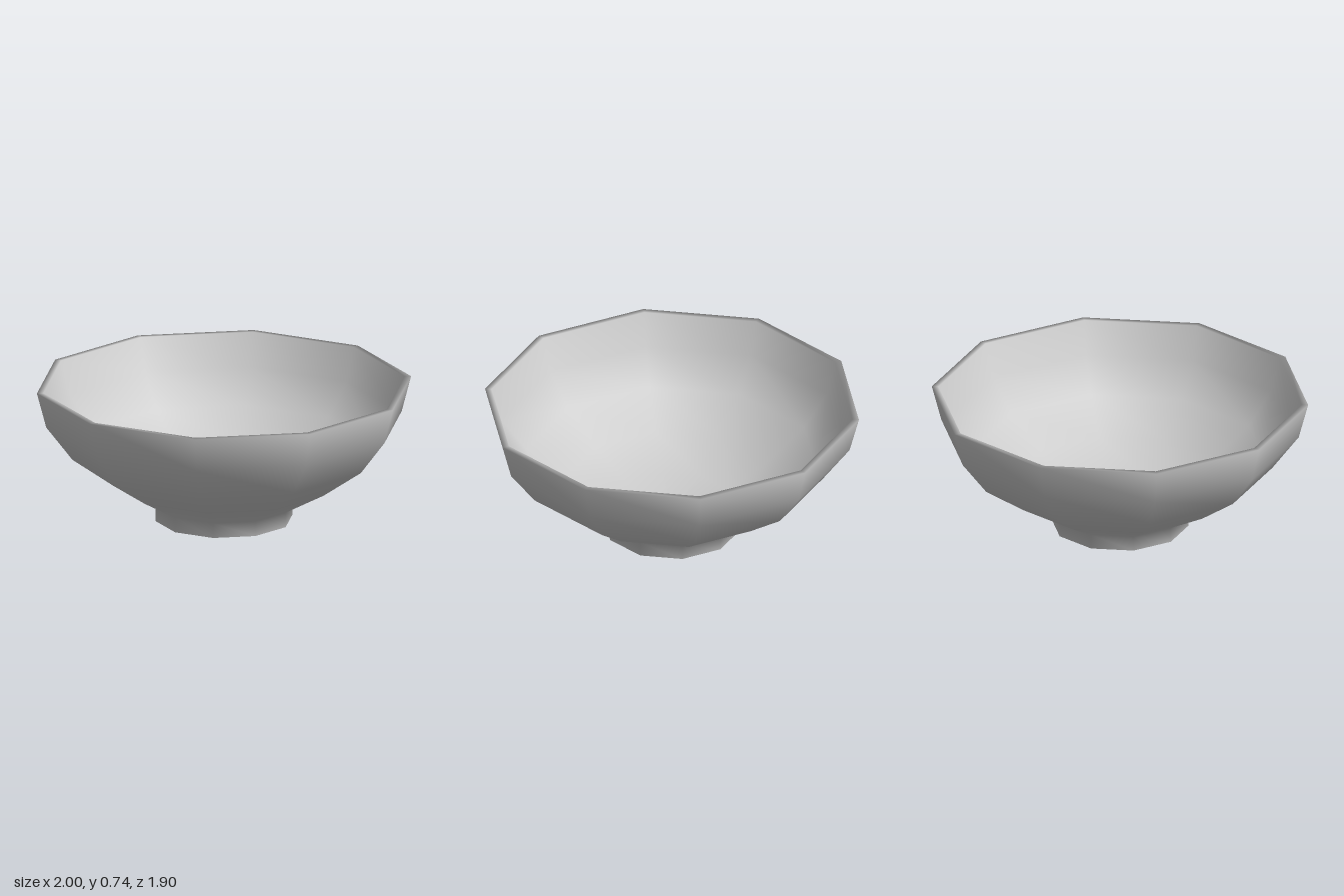
import * as THREE from 'three';

// Ten-sided smooth lathe with corners on the x axis
function turned(name, profile, material) {
  const points = profile.map(([r, y]) => new THREE.Vector2(r, y));
  const mesh = new THREE.Mesh(new THREE.LatheGeometry(points, 10, Math.PI / 2), material);
  mesh.name = name;
  return mesh;
}

export function createModel() {
  const group = new THREE.Group();
  group.name = 'bowl';
  const material = new THREE.MeshStandardMaterial({ color: 0xcccccc });

  // One closed profile, from the hollow underside around the rim to the inner floor
  group.add(turned('bowlShell', [
    // recessed underside and foot ring
    [0, 0.06], [0.33, 0.05], [0.34, 0], [0.365, 0], [0.365, 0.08],
    // outer wall
    [0.59, 0.205], [0.81, 0.36], [0.95, 0.545], [1, 0.735],
    // thin rim
    [0.965, 0.735],
    // inner wall and floor
    [0.915, 0.555], [0.78, 0.385], [0.57, 0.235], [0.34, 0.115], [0, 0.095],
  ], material));

  return group;
}
